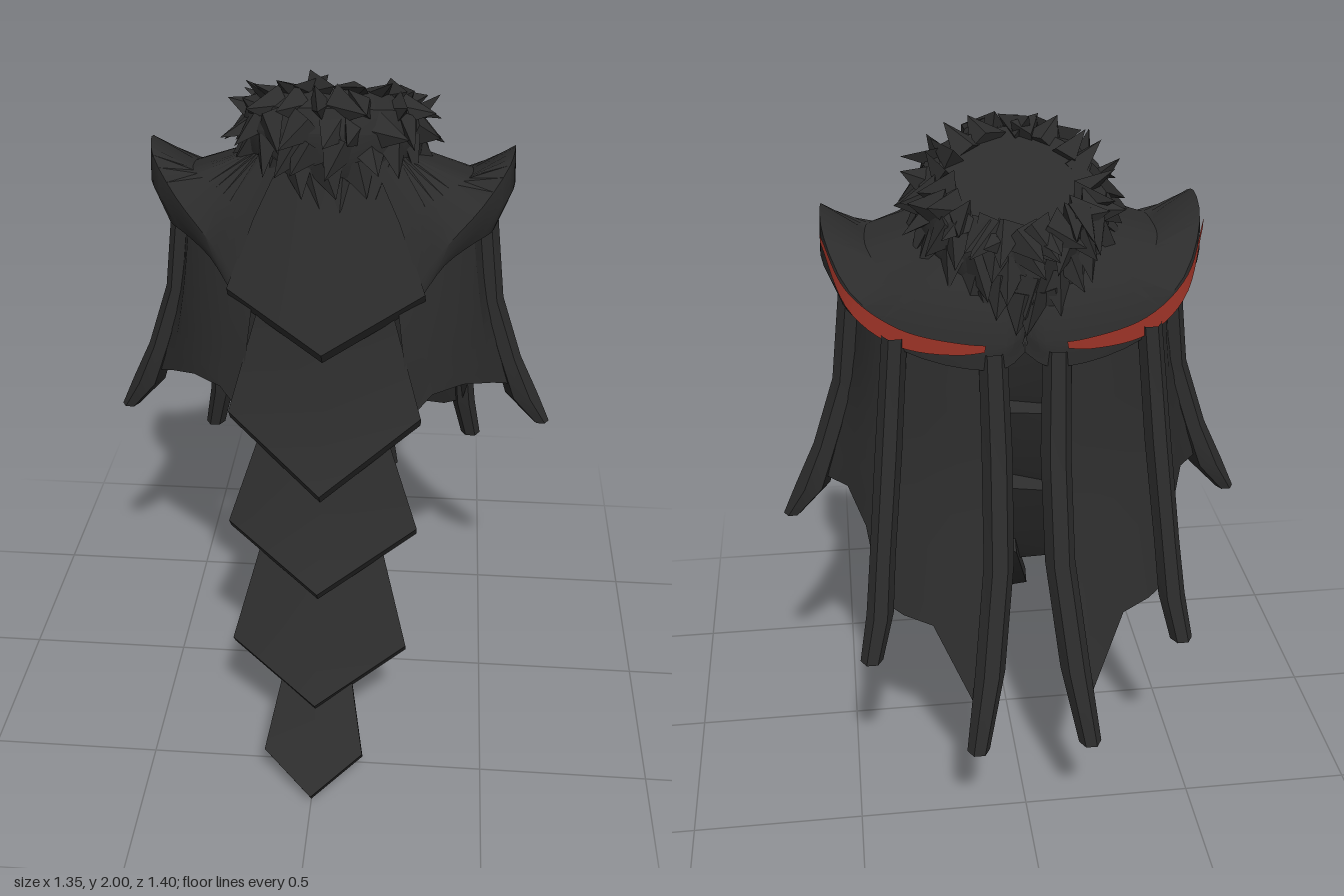
import * as THREE from 'three';
import { toCreasedNormals, mergeGeometries } from 'three/addons/utils/BufferGeometryUtils.js';

const V = (x, y, z) => new THREE.Vector3(x, y, z);

// Triangles from points and corner indices, with sharp creases kept
function build(points, index, crease) {
  const g = new THREE.BufferGeometry().setFromPoints(points);
  g.setIndex(index);
  return toCreasedNormals(g, crease);
}

// Surface through rows of points of equal length
function loft(rows, crease = 0.6, closed = false) {
  const n = rows[0].length, index = [];
  for (let r = 0; r < rows.length - 1; r++) {
    for (let c = 0; c < (closed ? n : n - 1); c++) {
      const a = r * n + c, b = r * n + (c + 1) % n;
      index.push(a, a + n, b, b, a + n, b + n);
    }
  }
  return build(rows.flat(), index, crease);
}

const spline = (points, n) => new THREE.CatmullRomCurve3(points, false, 'centripetal').getPoints(n);

// Tapered six-sided strut; each entry is x, y, z, radius
function strut(path, s) {
  const rows = path.map(([x, y, z, r]) => Array.from({ length: 6 }, (_, i) => {
    const a = i / 6 * Math.PI * 2;
    return V(s * x + r * Math.cos(a), y, z + r * Math.sin(a));
  }));
  const [x, y, z] = path[path.length - 1];
  rows.push(Array(6).fill(0).map(() => V(s * x, y - 0.01, z)));
  return loft(rows, 0.5, true);
}

// Thick pointed plate with a soft centre ridge
function plateGeometry([w0, y0, zs, zc, w, yc, zCorner, ym, zm, yt, zt]) {
  const front = [V(-w0, y0, zs), V(-w, yc, zCorner), V(0, yt, zt), V(w, yc, zCorner),
    V(w0, y0, zs), V(0, y0, zc), V(0, ym, zm)];
  const back = front.map(p => p.clone().add(V(0, -0.04, -0.035)));
  const index = [];
  for (let i = 0; i < 6; i++) {
    const j = (i + 1) % 6;
    index.push(6, i, j, 13, 7 + j, 7 + i, i, 7 + i, j, j, 7 + i, 7 + j);
  }
  return build([...front, ...back], index, 0.75);
}

export function createModel() {
  const model = new THREE.Group();
  const cloth = new THREE.MeshStandardMaterial({ color: 0x2c2c2c, side: THREE.DoubleSide });
  const red = new THREE.MeshStandardMaterial({ color: 0x9a3226, side: THREE.DoubleSide });
  cloth.name = 'charcoal cloth';
  red.name = 'red trim';
  const add = (name, geometry, material = cloth) => {
    const mesh = new THREE.Mesh(geometry, material);
    mesh.name = name;
    model.add(mesh);
  };

  // Overlapping front plates, top to bottom
  [
    [.14, 1.80, .08, .10, .28, 1.43, .16, 1.55, .20, 1.30, .30],
    [.19, 1.38, .17, .20, .28, 1.06, .21, 1.10, .25, .89, .385],
    [.18, 1.02, .225, .25, .28, .72, .27, .81, .32, .605, .465],
    [.17, .70, .29, .33, .26, .38, .395, .48, .42, .265, .555],
    [.08, .40, .39, .43, .145, .13, .60, .20, .55, .045, .70],
  ].forEach((p, i) => add('frontPlate' + (i + 1), plateGeometry(p)));

  // Shoulder mantle: neck point, rim top, rim bottom, dip between neck and rim
  const mantle = [
    [[.12, 1.80, .09], [.26, 1.47, .15], [.27, 1.42, .15], -.02],
    [[.18, 1.79, .06], [.34, 1.57, .12], [.33, 1.50, .11], 0],
    [[.21, 1.78, .02], [.43, 1.66, .06], [.41, 1.54, .04], .01],
    [[.23, 1.77, -.03], [.50, 1.76, 0], [.46, 1.56, 0], .05],
    [[.24, 1.76, -.08], [.515, 1.79, -.07], [.47, 1.56, -.08], .07],
    [[.24, 1.75, -.15], [.51, 1.74, -.18], [.475, 1.56, -.18], .05],
    [[.22, 1.73, -.23], [.45, 1.62, -.28], [.44, 1.55, -.29], .01],
    [[.16, 1.70, -.31], [.32, 1.55, -.385], [.32, 1.49, -.385], -.03],
    [[.09, 1.67, -.35], [.16, 1.52, -.43], [.16, 1.45, -.43], -.03],
    [[.04, 1.66, -.36], [.05, 1.51, -.435], [.05, 1.45, -.435], -.02],
    [[0, 1.66, -.36], [0, 1.53, -.41], [0, 1.48, -.41], -.02],
  ];

  // Cape panels: top, middle and bottom of each fold line
  const cape = [
    [[.19, 1.52, .15], [.22, 1.28, .19], [.25, 1.05, .19]],
    [[.25, 1.56, .12], [.28, 1.30, .15], [.31, 1.115, .16]],
    [[.33, 1.60, .06], [.37, 1.32, .08], [.40, 1.11, .08]],
    [[.40, 1.63, -.01], [.44, 1.32, -.02], [.49, 1.06, -.03]],
    [[.43, 1.63, -.13], [.465, 1.32, -.13], [.56, 1.00, -.14]],
    [[.41, 1.62, -.22], [.435, 1.32, -.23], [.485, 1.01, -.24]],
    [[.37, 1.60, -.30], [.395, 1.28, -.32], [.44, .94, -.35]],
    [[.33, 1.55, -.35], [.35, 1.20, -.38], [.41, .76, -.46]],
    [[.27, 1.52, -.38], [.29, 1.16, -.41], [.35, .725, -.49]],
    [[.18, 1.50, -.40], [.19, 1.12, -.44], [.27, .71, -.53]],
    [[.09, 1.49, -.40], [.085, 1.05, -.47], [.155, .48, -.64]],
  ];

  const struts = {
    side: [[.435, 1.59, -.13, .042], [.47, 1.3, -.13, .04], [.535, 1.1, -.135, .04],
      [.585, .97, -.14, .05], [.65, .875, -.14, .026]],
    rear: [[.34, 1.53, -.37, .034], [.37, 1.2, -.41, .037], [.40, .9, -.46, .036],
      [.415, .74, -.495, .038], [.445, .6, -.52, .032]],
    inner: [[.085, 1.49, -.41, .038], [.08, 1.2, -.455, .042], [.085, .9, -.53, .042],
      [.12, .6, -.615, .042], [.16, .37, -.668, .032]],
  };

  for (const s of [1, -1]) {
    const side = s > 0 ? 'left' : 'right';
    const pt = p => V(s * p[0], p[1], p[2]);
    const neck = [], mid = [], top = [], edge = [], bottom = [], under = [];
    for (const [n, t, b, dip] of mantle) {
      neck.push(pt(n));
      mid.push(pt(n).lerp(pt(t), 0.58).add(V(0, -dip, 0)));
      top.push(pt(t));
      // The rim face bulges where it is tall
      edge.push(pt(t).lerp(pt(b), 0.45).add(V(s * (t[1] - b[1]) * 0.11, 0, 0)));
      bottom.push(pt(b));
      under.push(pt(b).lerp(pt(n), 0.25));
    }
    const rows = [neck, mid, top, edge, bottom, under].map(r => spline(r, 30));
    add(side + 'Mantle', loft(rows, 0.5));

    // Red trim along the rear rim, widest behind the shoulder
    const rimTop = spline(top.slice(5, 10), 24), rimEdge = spline(edge.slice(5, 10), 24);
    const upper = [], lower = [];
    rimTop.slice(0, 22).forEach((p, i) => {
      const down = rimEdge[i].clone().sub(p);
      const width = 0.01 + 0.034 * Math.sin(Math.PI * (i + 1) / 23);
      const out = V(p.x, 0, p.z + 0.13).setLength(0.009);
      upper.push(p.clone().add(out).add(V(0, 0.005, 0)));
      lower.push(p.clone().add(out).add(down.setLength(width)));
    });
    add(side + 'RedTrim', loft([upper, lower], 1), red);

    const folds = cape.map(c => spline(c.map(pt), 8));
    add(side + 'Cape', loft(folds, 0.35));
    for (const [name, path] of Object.entries(struts)) {
      add(side + name[0].toUpperCase() + name.slice(1) + 'Strut', strut(path, s));
    }
  }

  // Collar body: rings given as half width, half depth, centre z, y, tilt
  const rings = [
    [.21, .205, -.195, 1.87, .095], [.25, .25, -.148, 1.86, .08], [.265, .268, -.132, 1.81, .07],
    [.26, .27, -.132, 1.75, .065], [.235, .27, -.135, 1.70, .06], [.20, .265, -.143, 1.665, .065],
  ];
  const ringPoint = ([rx, rz, z, y, tilt], a) =>
    V(rx * Math.sin(a), y + tilt * Math.cos(a), z + rz * Math.cos(a));
  const ringRows = rings.map(r => Array.from({ length: 24 }, (_, i) => ringPoint(r, i / 24 * Math.PI * 2)));
  add('collarBody', loft(ringRows, 0.5, true));

  // Smooth, nearly flat lining closing the collar
  const lining = [1, 0.55, 0.001].map(k => ringRows[0].map(p =>
    V(p.x * k, 1.87 + (p.y - 1.87) * k, -0.195 + (p.z + 0.195) * k)));
  add('collarLining', loft(lining, 0.7, true));

  // Broad overlapping fur tufts in staggered rows, lying close to the collar
  let seed = 7;
  const rand = () => (seed = (seed * 16807) % 2147483647) / 2147483647;
  const tufts = [];
  const lift = [0.55, 0.3, -0.5, -1.1, -1.6, -2.0];
  rings.forEach((ring, k) => {
    for (let i = 0; i < 20; i++) {
      const a = (i + (k % 2) / 2 + (rand() - 0.5) * 0.6) / 20 * Math.PI * 2;
      const normal = V(Math.sin(a), 0.25 - k * 0.1, Math.cos(a)).normalize();
      const swirl = (rand() - 0.5) * 1.8;
      // Tufts at the nape hang flatter
      const rise = lift[k] + (rand() - 0.5) * 0.8 - Math.max(0, -Math.cos(a)) * 0.9;
      const dir = V(Math.sin(a + swirl), rise, Math.cos(a + swirl)).normalize();
      const across = dir.clone().cross(normal).normalize();
      const cone = new THREE.ConeGeometry(0.058, 0.1 + rand() * 0.025, 4, 1);
      cone.scale(1, 1, 0.55);
      cone.translate(0, 0.012, 0);
      cone.applyMatrix4(new THREE.Matrix4().makeBasis(across, dir, across.clone().cross(dir)));
      const p = ringPoint(ring, a);
      cone.translate(p.x, p.y, p.z);
      tufts.push(toCreasedNormals(cone, 0.1));
    }
  });
  add('furCollar', mergeGeometries(tufts));

  return model;
}
